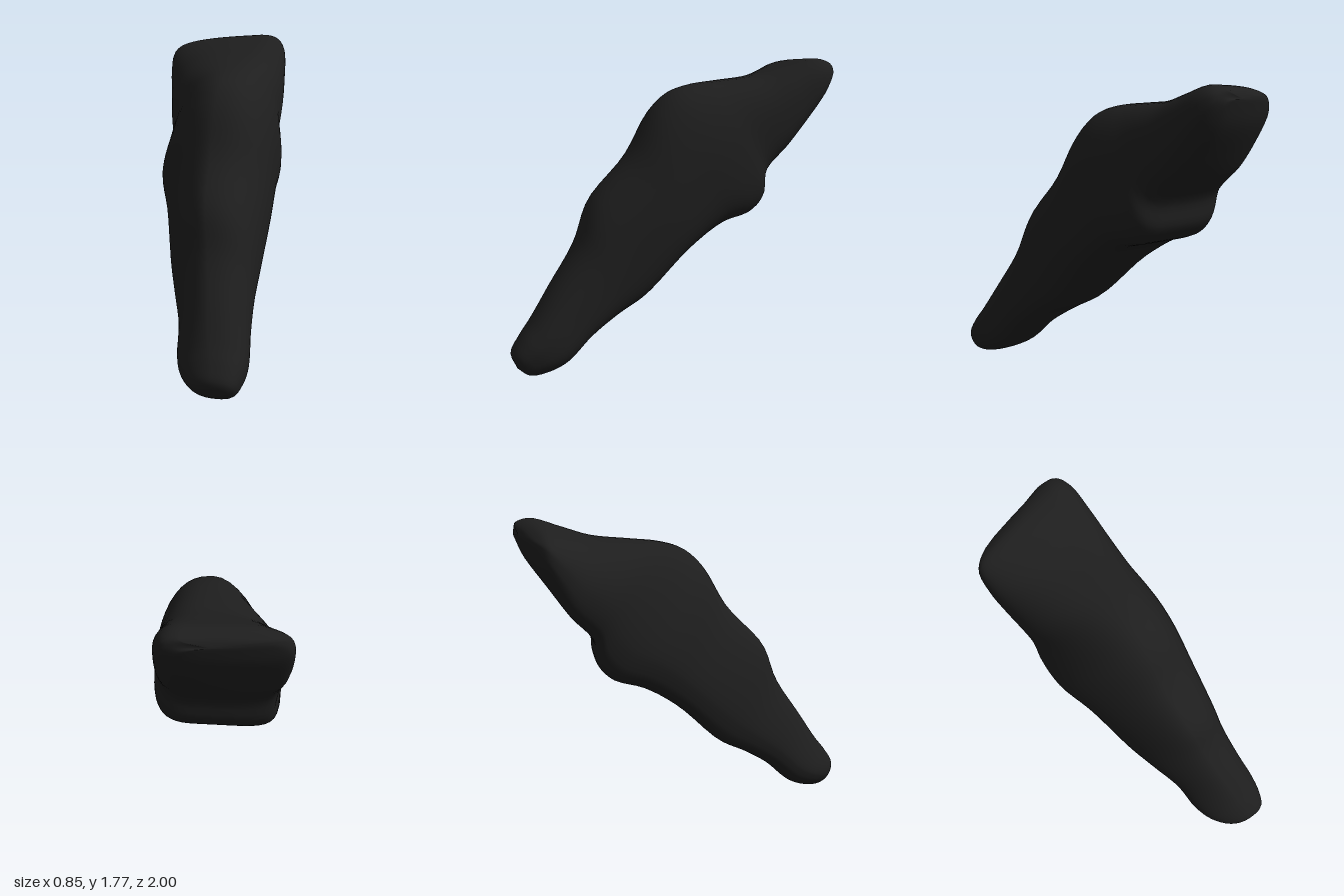
import * as THREE from 'three';
import { mergeVertices } from 'three/addons/utils/BufferGeometryUtils.js';

// Cross-sections from the foot to the top end:
// [upper z, upper y, lower z, lower y, min x, max x]
const SECTIONS = [
  [1.00, 0.13, 0.90, 0.005, 0.15, 0.375],
  [0.95, 0.22, 0.80, 0.015, 0.06, 0.41],
  [0.88, 0.31, 0.68, 0.065, 0.01, 0.42],
  [0.76, 0.49, 0.53, 0.20, -0.02, 0.40],
  [0.60, 0.73, 0.37, 0.31, -0.09, 0.385],
  [0.50, 0.97, 0.20, 0.41, -0.155, 0.385],
  [0.27, 1.22, -0.07, 0.67, -0.25, 0.395],
  [0.12, 1.47, -0.28, 0.81, -0.335, 0.39],
  [0.00, 1.58, -0.46, 0.865, -0.34, 0.385],
  [-0.14, 1.625, -0.545, 0.95, -0.33, 0.37],
  [-0.32, 1.645, -0.565, 1.09, -0.355, 0.345],
  [-0.55, 1.67, -0.70, 1.235, -0.395, 0.335],
  [-0.72, 1.72, -0.82, 1.375, -0.42, 0.32],
  [-0.90, 1.77, -0.95, 1.55, -0.42, 0.29],
  [-0.985, 1.745, -1.00, 1.67, -0.34, 0.23],
];
const FOOT_TIP = new THREE.Vector3(0.26, 0.04, 0.965);
const TOP_TIP = new THREE.Vector3(0.0, 1.69, -0.97);
const AROUND = 48, ALONG = 68;
const { lerp, smoothstep } = THREE.MathUtils;

const power = (n, p) => Math.sign(n) * Math.abs(n) ** p;

// A point on a rounded section; t runs from 0 at the foot to 1 at the top
function sectionPoint([uz, uy, lz, ly, minX, maxX], t, angle) {
  const c = Math.cos(angle), s = Math.sin(angle);
  // The upper edge of the right-hand flank is bevelled until near the top end
  const bevelled = c < 0 && s > 0;
  const p = bevelled ? lerp(1.15, 0.6, smoothstep(t, 0.45, 1)) : 0.8;
  const u = power(c, p), v = power(s, p);
  // The ridge and belly drift off centre, and the widest line sags mid-length
  const ridge = 0.07 + 0.19 * (1 - smoothstep(t, 0, 0.5)) + 0.08 * smoothstep(t, 0.75, 1);
  const belly = lerp(0.27, 0.04, t);
  const sag = (c < 0 ? 0.55 : 0.3) * Math.sin(Math.PI * t);
  const h = (v - sag * (1 - v * v) + 1) / 2;
  const mid = lerp(belly, ridge, (v + 1) / 2);
  const x = mid + u * (u > 0 ? maxX - mid : mid - minX);
  // The top end is cut at a slant across its width
  const back = 0.25 * smoothstep(t, 0.75, 1) * Math.max(0, 0.15 - x);
  return new THREE.Vector3(x, lerp(ly, uy, h) - back * 0.3, lerp(lz, uz, h) + back);
}

// Smooth curves run from tip to tip through every section
function stoneGeometry() {
  const position = [], index = [];
  for (let j = 0; j < AROUND; j++) {
    const angle = (j / AROUND) * Math.PI * 2;
    const ribs = SECTIONS.map((s, k) => sectionPoint(s, k / (SECTIONS.length - 1), angle));
    const curve = new THREE.CatmullRomCurve3([FOOT_TIP, ...ribs, TOP_TIP], false, 'centripetal');
    for (let i = 0; i <= ALONG; i++) position.push(...curve.getPoint(i / ALONG).toArray());
  }
  const at = (i, j) => (j % AROUND) * (ALONG + 1) + i;
  for (let j = 0; j < AROUND; j++) {
    for (let i = 0; i < ALONG; i++) {
      const a = at(i, j), b = at(i + 1, j), c = at(i + 1, j + 1), d = at(i, j + 1);
      // Strips narrow to single triangles at the tips
      if (i < ALONG - 1) index.push(a, b, c);
      if (i > 0) index.push(a, c, d);
    }
  }
  const strips = new THREE.BufferGeometry();
  strips.setAttribute('position', new THREE.Float32BufferAttribute(position, 3));
  strips.setIndex(index);
  const geometry = mergeVertices(strips, 1e-5);
  geometry.computeVertexNormals();
  return geometry;
}

export function createModel() {
  const group = new THREE.Group();
  group.name = 'leaningRock';
  const stone = new THREE.Mesh(
    stoneGeometry(),
    new THREE.MeshStandardMaterial({ color: 0x1e1e1e }),
  );
  stone.name = 'stone';
  group.add(stone);
  return group;
}
